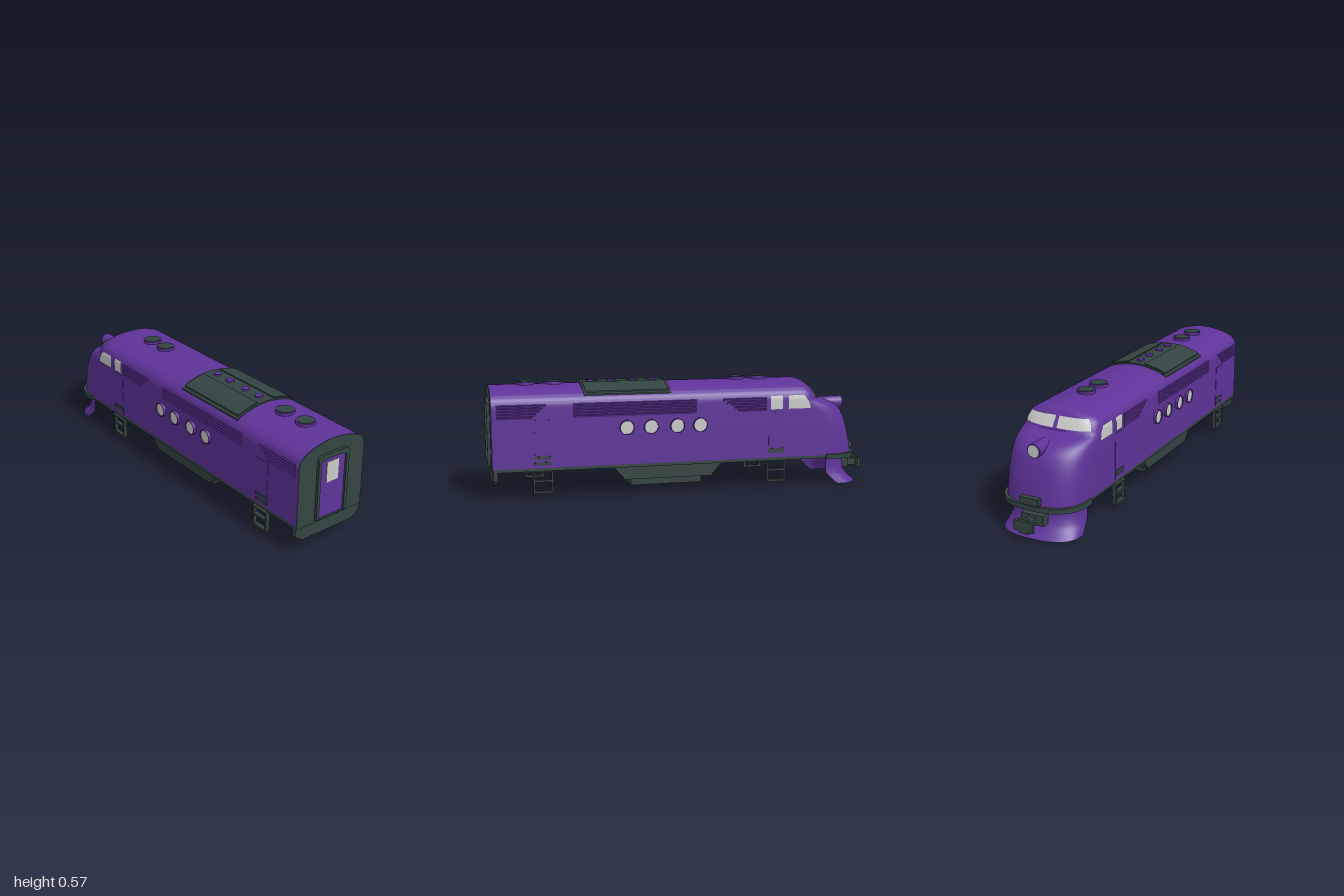
import * as THREE from 'three';
import { toCreasedNormals } from 'three/addons/utils/BufferGeometryUtils.js';

const mat = (name, color) => Object.assign(new THREE.MeshStandardMaterial({ color }), { name });

// Horizontal body layers: height, half width, start of nose curve, nose tip, roundness
const BODY = [
  [0.155, 0.2, -0.75, -0.93, 2.5], [0.2, 0.2, -0.745, -0.922, 2.5], [0.28, 0.2, -0.735, -0.905, 2.5],
  [0.34, 0.2, -0.715, -0.888, 2.4], [0.38, 0.2, -0.69, -0.868, 2.4], [0.41, 0.2, -0.66, -0.84, 2.4],
  [0.43, 0.2, -0.63, -0.8, 2.4], [0.445, 0.2, -0.61, -0.735, 2.6], [0.452, 0.2, -0.6, -0.715, 3],
  [0.465, 0.199, -0.6, -0.706, 3], [0.48, 0.195, -0.6, -0.697, 3], [0.495, 0.187, -0.6, -0.687, 3],
  [0.51, 0.172, -0.6, -0.677, 3], [0.522, 0.15, -0.59, -0.668, 3], [0.533, 0.12, -0.58, -0.657, 3],
  [0.542, 0.08, -0.56, -0.642, 3], [0.549, 0.04, -0.54, -0.62, 3], [0.551, 0, -0.54, -0.6, 3],
];
const PILOT = [
  [0, 0.2, -0.81, -0.95, 2.5], [0.025, 0.195, -0.78, -0.918, 2.5],
  [0.06, 0.187, -0.747, -0.89, 2.5], [0.14, 0.187, -0.745, -0.875, 2.5],
];
const REAR = 0.985;
const lerp = THREE.MathUtils.lerp;

function layerAt(rows, y) {
  let i = 0;
  while (i < rows.length - 2 && rows[i + 1][0] < y) i++;
  const k = (y - rows[i][0]) / (rows[i + 1][0] - rows[i][0]);
  return rows[i].map((v, j) => lerp(v, rows[i + 1][j], k));
}
// U-shaped plan outline of one layer, from the left rear round the nose to the right rear
function outline([, w, z0, zf, n], rear, grow = 0) {
  const pts = [[w + grow, rear]];
  for (let i = 0; i <= 36; i++) {
    const t = (i / 36) * Math.PI, c = Math.cos(t);
    pts.push([Math.sign(c) * (w + grow) * Math.abs(c) ** (2 / n),
      z0 + (zf - grow - z0) * Math.max(0, Math.sin(t)) ** (2 / n)]);
  }
  pts.push([-w - grow, rear]);
  return pts;
}
function grid(points, rows, cols) {
  const index = [];
  for (let r = 0; r < rows - 1; r++) for (let i = 0; i < cols - 1; i++) {
    const a = r * cols + i, c = a + cols;
    index.push(a, a + 1, c, a + 1, c + 1, c);
  }
  const g = new THREE.BufferGeometry();
  g.setAttribute('position', new THREE.Float32BufferAttribute(points, 3));
  g.setIndex(index);
  g.computeVertexNormals();
  return g;
}
function loft(rows, rearOf) {
  const pts = [], fine = [];
  rows.forEach((r, i) => {
    if (i) fine.push(layerAt(rows, (r[0] + rows[i - 1][0]) / 2));
    fine.push(r);
  });
  for (const r of fine) for (const [x, z] of outline(r, rearOf(r))) pts.push(x, r[0], z);
  return toCreasedNormals(grid(pts, fine.length, 39), 0.6);
}
const toShape = (pts) => new THREE.Shape(pts.map(([x, y]) => new THREE.Vector2(x, y)));
const extrude = (shape, depth) => new THREE.ExtrudeGeometry(shape, { depth, bevelEnabled: false });
const mirrorPts = (half) => [...half, ...half.map(([x, y]) => [-x, y]).reverse()];
// Flat slab with a plan outline
const slab = (pts, y, h) => extrude(toShape(pts.map(([x, z]) => [x, -z])), h).rotateX(-Math.PI / 2).translate(0, y, 0);

function roofY(x) {
  for (let i = BODY.length - 1; i > 0; i--) {
    const [y1, w1] = BODY[i], [y0, w0] = BODY[i - 1];
    if (Math.abs(x) <= w0) return lerp(y1, y0, (Math.abs(x) - w1) / (w0 - w1));
  }
}
// Curved roof panel between two x positions
function roofPanel(x0, x1, low, high, z0, z1) {
  const top = [], bottom = [];
  for (let i = 0; i <= 10; i++) {
    const x = lerp(x0, x1, i / 10);
    top.unshift([x, roofY(x) + high]);
    bottom.push([x, roofY(x) + low]);
  }
  return extrude(toShape([...bottom, ...top]), z1 - z0).translate(0, 0, z0);
}

export function createModel() {
  const root = new THREE.Group();
  root.name = 'locomotive';
  const purple = mat('purple paint', 0x5e3399);
  const dark = mat('dark grey green', 0x334442);
  const glass = mat('pale glass', 0xcacaca);
  purple.side = glass.side = THREE.DoubleSide;
  const add = (name, geo, m, x = 0, y = 0, z = 0) => {
    const mesh = new THREE.Mesh(geo, m);
    mesh.name = name;
    mesh.position.set(x, y, z);
    root.add(mesh);
    return mesh;
  };
  const box = (name, m, w, h, d, x, y, z) => add(name, new THREE.BoxGeometry(w, h, d), m, x, y, z);

  // Body shell, underframe, nose belt and pilot
  add('bodyShell', loft(BODY, () => REAR), purple);
  add('underframe', slab(outline(BODY[0], REAR), 0.14, 0.016), dark);
  add('noseBelt', slab(outline([0, 0.2, -0.76, -0.93, 2.5], -0.74, 0.012), 0.135, 0.025), dark);
  add('pilot', loft(PILOT, (r) => r[2] + 0.001), purple);

  // Rear wall, valance and door
  const wall = BODY.map(([y, w]) => [w, y]);
  add('rearWall', new THREE.ShapeGeometry(toShape(mirrorPts([[0.2, 0.14], ...wall]))), dark, 0, 0, REAR + 0.001);
  add('rearValance', extrude(toShape(mirrorPts([[0.155, 0.07], [0.2, 0.1], [0.2, 0.145]])), 0.02), dark, 0, 0, 0.96);
  const frame = toShape(mirrorPts([[0.093, 0.155], [0.093, 0.472], [0.078, 0.483], [0.04, 0.486]]));
  const doorHalf = [[0.077, 0.156], [0.077, 0.455], [0.04, 0.463]];
  frame.holes.push(toShape(mirrorPts(doorHalf)));
  add('rearDoorFrame', extrude(frame, 0.015), dark, 0, 0, REAR);
  add('rearDoor', new THREE.ShapeGeometry(toShape(mirrorPts(doorHalf))), purple, 0, 0, REAR + 0.004);
  box('rearDoorWindow', glass, 0.073, 0.105, 0.003, 0, 0.387, REAR + 0.006);

  // Fuel tank
  const tank = toShape([[0.39, 0.145], [0.33, 0.075], [-0.12, 0.075], [-0.18, 0.145]].map(([z, y]) => [-z, y]));
  add('tankUpper', extrude(tank, 0.37).translate(0, 0, -0.185).rotateY(Math.PI / 2), dark);
  box('tankLower', dark, 0.27, 0.045, 0.37, 0, 0.056, 0.105);

  // Front coupler and buffer step
  box('noseStep', dark, 0.1, 0.035, 0.035, 0, 0.182, -0.93);
  box('couplerMount', dark, 0.12, 0.05, 0.06, 0, 0.085, -0.895);
  box('couplerStem', dark, 0.04, 0.035, 0.1, 0, 0.078, -0.94);
  box('couplerHead', dark, 0.104, 0.05, 0.016, 0, 0.08, -0.992);
  box('couplerJaw', dark, 0.05, 0.072, 0.016, 0, 0.08, -0.991);

  // Headlight
  const tube = new THREE.CylinderGeometry(0.035, 0.031, 0.145, 28).rotateX(-Math.PI / 2);
  add('headlightHousing', tube, purple, 0, 0.408, -0.822);
  add('headlightLens', new THREE.CylinderGeometry(0.029, 0.029, 0.004, 28).rotateX(Math.PI / 2), glass, 0, 0.408, -0.895);

  // Roof fans and hatch
  for (const z of [-0.42, -0.3, 0.66, 0.8]) {
    add('roofFanRim', new THREE.CylinderGeometry(0.047, 0.047, 0.03, 32), purple, 0, 0.548, z);
    add('roofFanGrille', new THREE.CylinderGeometry(0.04, 0.04, 0.003, 32), dark, 0, 0.564, z);
  }
  add('roofHatch', roofPanel(-0.178, 0.178, -0.01, 0.007, 0.09, 0.53), dark);
  for (const s of [-1, 1])
    add('hatchPanel', roofPanel(s > 0 ? 0.05 : -0.166, s > 0 ? 0.166 : -0.05, 0, 0.012, 0.1, 0.52), dark);
  for (const z of [0.15, 0.25, 0.37, 0.47])
    add('hatchVent', new THREE.CylinderGeometry(0.02, 0.02, 0.012, 20), purple, 0, 0.56, z);

  // Curved glass laid on the shell
  const pane = (name, fn) => {
    const pts = [];
    for (let r = 0; r <= 8; r++) for (let i = 0; i <= 10; i++) pts.push(...fn(i / 10, r / 8));
    add(name, grid(pts, 9, 11), glass);
  };
  for (const s of [-1, 1]) {
    const dir = s > 0 ? 'left' : 'right';
    pane(dir + 'Windshield', (u, v) => {
      const y = lerp(0.459, 0.509, v);
      const [, w, z0, zf, n] = layerAt(BODY, y);
      const k = lerp(0.05, 0.87, s > 0 ? 1 - u : u);
      return [s * k * w, y + 0.003, z0 + (zf - z0) * (1 - k ** n) ** (1 / n) - 0.004];
    });
    const sidePane = (name, rear, frontLow, frontHigh) => pane(dir + name, (u, v) => {
      const y = lerp(0.408, 0.477, v);
      const [, w, z0, zf, n] = layerAt(BODY, y);
      const z = lerp(rear, lerp(frontLow, frontHigh, v * v), s > 0 ? u : 1 - u);
      const k = Math.max(0, (z - z0) / (zf - z0));
      return [s * (w * (1 - k ** n) ** (1 / n) + 0.005), y, z];
    });
    sidePane('DoorWindow', -0.432, -0.495, -0.495);
    sidePane('CabWindow', -0.528, -0.647, -0.612);

    // Portholes
    for (const z of [0.32, 0.197, 0.062, -0.057]) {
      const rim = new THREE.LatheGeometry([[0.037, 0], [0.037, 0.016], [0.033, 0.016], [0.033, 0.008]]
        .map(([r, y]) => new THREE.Vector2(r, y)), 32);
      add('portholeRim', toCreasedNormals(rim, 0.5).rotateZ(-s * Math.PI / 2), purple, s * 0.199, 0.342, z);
      add('portholeGlass', new THREE.CircleGeometry(0.034, 32).rotateY(s * Math.PI / 2), glass, s * 0.209, 0.342, z);
    }

    // Louvre banks: rear end and front end at the top, then at the bottom
    for (const [a, b, c, d] of [[0.96, 0.72, 0.96, 0.785], [0.588, -0.04, 0.588, -0.04], [-0.18, -0.41, -0.255, -0.41]])
      for (let i = 0; i < 5; i++) {
        const r = lerp(a, c, i / 4), f = lerp(b, d, i / 4);
        const slat = box('louvre', purple, 0.006, 0.012, r - f, s * 0.2005, 0.464 - i * 0.0145, (r + f) / 2);
        slat.rotation.z = -s * 0.45;
      }

    // Side doors, steps and ladders
    for (const z of [0.74, -0.462]) {
      box('sideDoor', purple, 0.004, 0.235, 0.078, s * 0.2, 0.277, z);
      for (const y of z > 0 ? [0.178, 0.207] : [0.193])
        box('doorStep', dark, 0.008, z > 0 ? 0.014 : 0.024, 0.08, s * 0.201, y, z);
      box('ladderTop', dark, 0.03, 0.005, 0.1, s * 0.201, 0.138, z);
      for (const e of [-1, 1]) box('ladderRail', dark, 0.02, 0.105, 0.009, s * 0.2, 0.085, z + e * 0.045);
      for (const y of [0.037, 0.093]) box('ladderRung', dark, 0.022, 0.011, 0.1, s * 0.201, y, z);
    }
  }
  return root;
}
